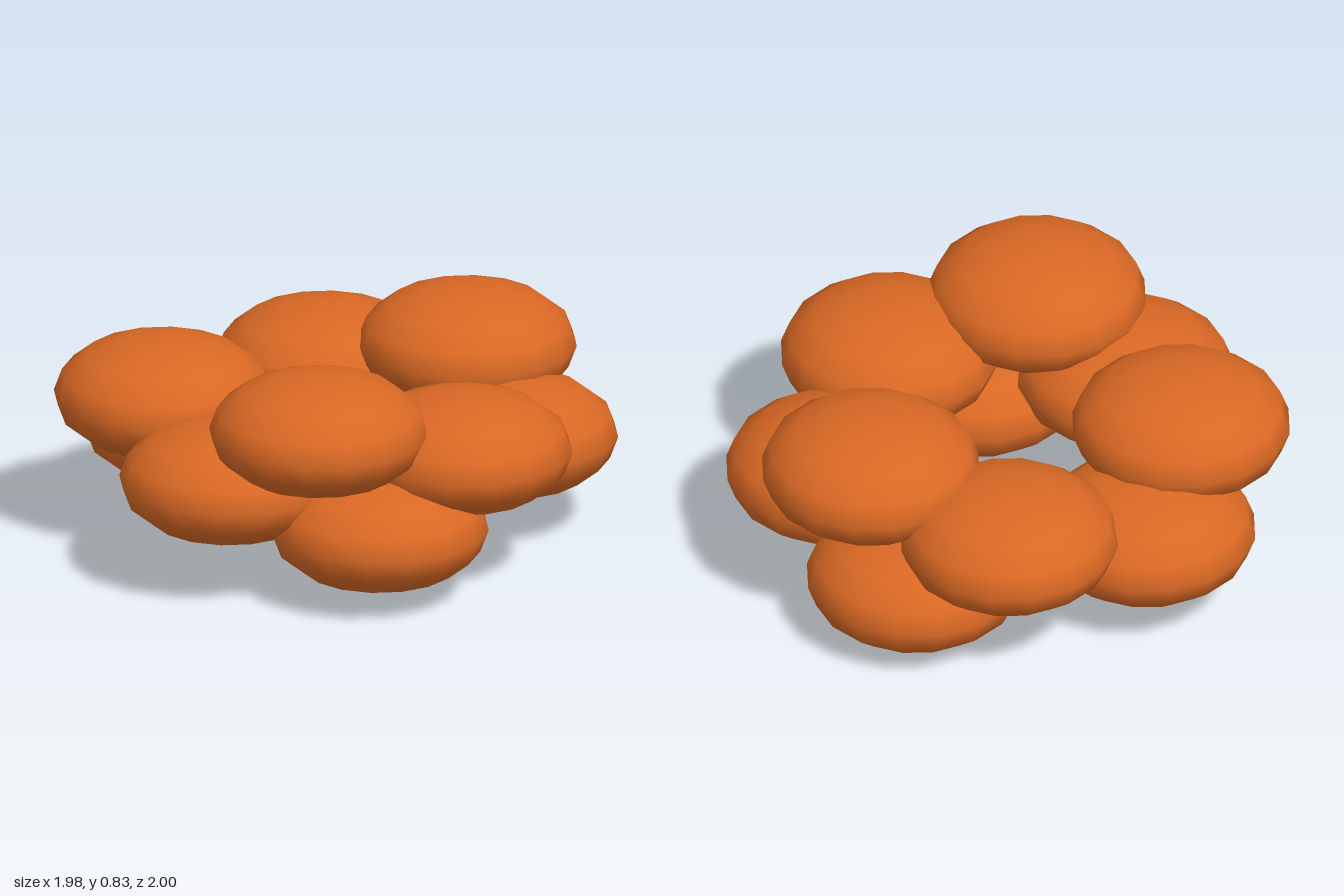
import * as THREE from 'three';

export function createModel() {
  const model = new THREE.Group();
  model.name = 'pebbleSpiral';

  const orange = new THREE.MeshStandardMaterial({ color: 0xd96824 });
  orange.name = 'orange';

  // One flattened, smooth low-poly pebble shared by every step
  const COUNT = 10, RING = 0.614, RADIUS = 0.39, HALF_HEIGHT = 0.21, RISE = 0.0455;
  const pebble = new THREE.SphereGeometry(RADIUS, 16, 8);
  pebble.scale(1, HALF_HEIGHT / RADIUS, 1);

  // Pebbles climb a ring, each turned by the golden angle from the last
  const goldenAngle = Math.PI * (3 - Math.sqrt(5));
  for (let i = 0; i < COUNT; i++) {
    const angle = -Math.PI / 2 + i * goldenAngle;
    const mesh = new THREE.Mesh(pebble, orange);
    mesh.name = `pebble${i + 1}`;
    mesh.position.set(
      RING * Math.cos(angle) + 0.009,
      HALF_HEIGHT + i * RISE,
      RING * Math.sin(angle) + 0.005
    );
    model.add(mesh);
  }
  return model;
}
